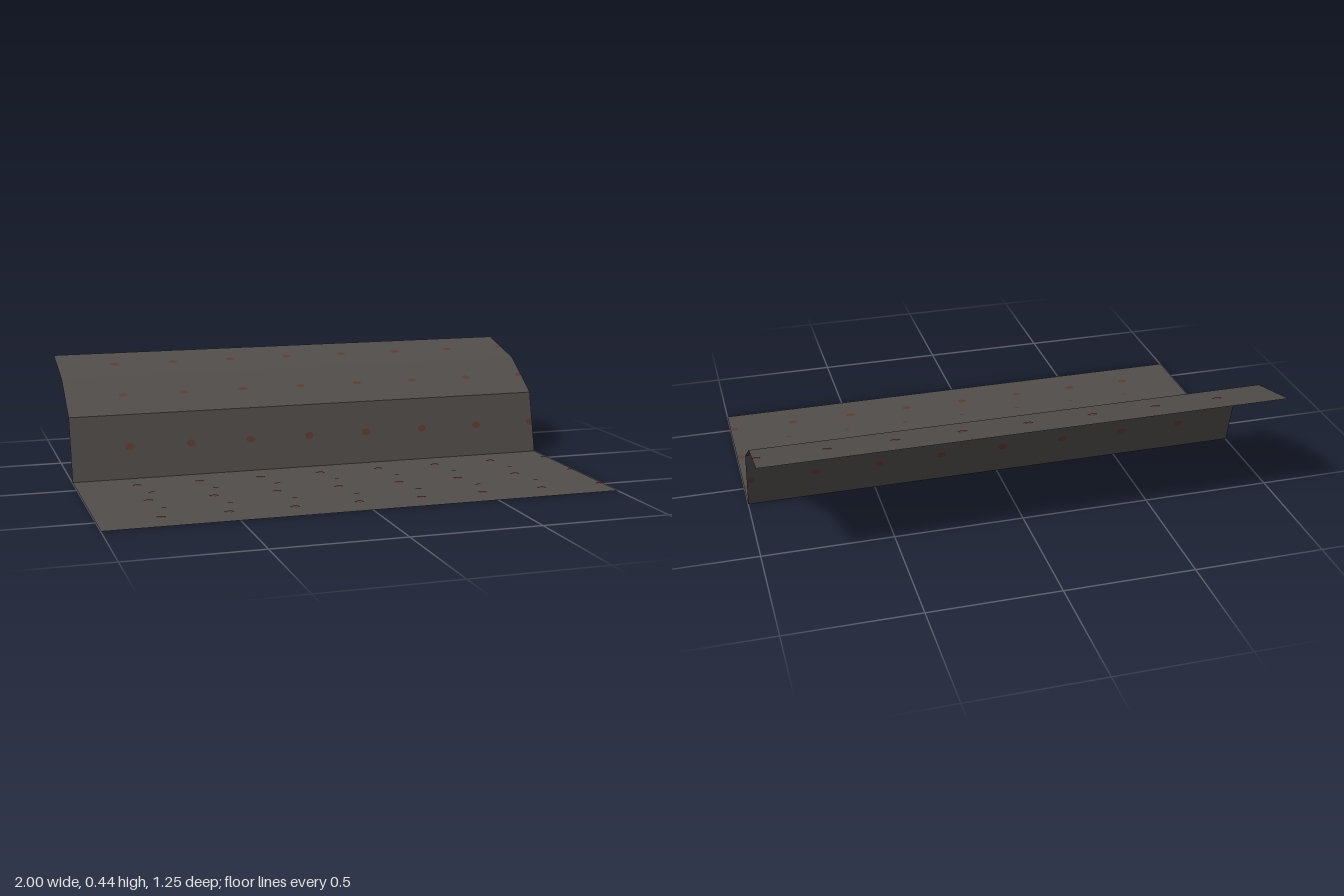
import * as THREE from 'three';

// Side profile of the folded sheet, front to back: [z, y]
const PROFILE = [[0.625, 0], [-0.125, 0], [-0.1875, 0.25], [-0.375, 0.375], [-0.625, 0.4375]];
const NAMES = ['floorPanel', 'stepWall', 'lowerSlope', 'upperSlope'];

export function createModel() {
  const model = new THREE.Group();
  model.name = 'foldedMetalSheet';

  const metal = new THREE.MeshStandardMaterial({ color: 0x524e4c, side: THREE.DoubleSide });
  metal.name = 'darkMetal';
  const rust = new THREE.MeshStandardMaterial({ color: 0x603c32 });
  rust.name = 'rust';

  const spotShape = new THREE.CircleGeometry(1, 8);

  // A flat rust spot on both faces of a panel
  function addSpot(panel, x, v, w, h) {
    const halfWidth = Math.min(w / 2, 1 - x);
    for (const side of [1, -1]) {
      const spot = new THREE.Mesh(spotShape, rust);
      spot.name = 'rustSpot';
      spot.scale.set(halfWidth, h / 2, 1);
      spot.position.set(x, v, 0.002 * side);
      if (side < 0) spot.rotation.y = Math.PI;
      panel.add(spot);
    }
  }

  NAMES.forEach((name, i) => {
    const [z0, y0] = PROFILE[i];
    const [z1, y1] = PROFILE[i + 1];

    // Each panel's local y runs along the profile, its local z is the upper face
    const panel = new THREE.Group();
    panel.name = name;
    panel.position.set(0, (y0 + y1) / 2, (z0 + z1) / 2);
    panel.rotation.x = Math.atan2(z1 - z0, y1 - y0);
    const sheet = new THREE.Mesh(new THREE.PlaneGeometry(2, Math.hypot(z1 - z0, y1 - y0)), metal);
    sheet.name = name + 'Sheet';
    panel.add(sheet);

    // Rows of rust spots, three on the floor and one on every other panel
    const rows = i === 0 ? [-0.25, 0, 0.25] : [0];
    for (const v of rows) {
      for (let k = 0; k < 8; k++) addSpot(panel, -0.765 + k * 0.25, v, 0.038, i === 2 ? 0.02 : 0.028);
    }
    // Smaller flecks between the floor rows
    if (i === 0) {
      for (const v of [-0.125, 0.125]) {
        for (let k = 0; k < 7; k++) addSpot(panel, -0.73 + k * 0.25, v, 0.025, 0.01);
      }
    }
    model.add(panel);
  });

  return model;
}
